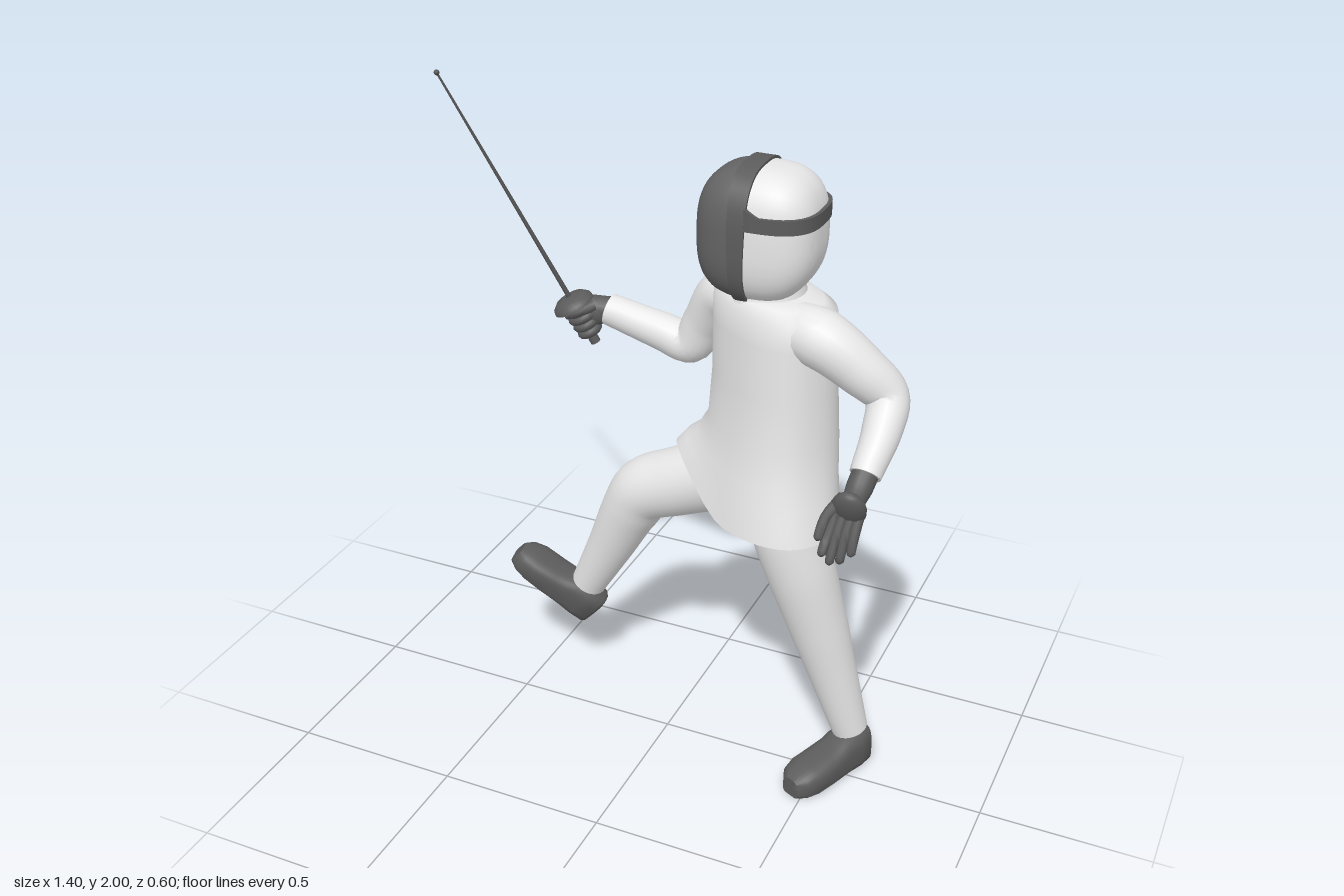
import * as THREE from 'three';
import { toCreasedNormals } from 'three/addons/utils/BufferGeometryUtils.js';

const V = (x, y, z) => new THREE.Vector3(x, y, z);
const spow = (v, e) => Math.sign(v) * Math.abs(v) ** e;

// Skin through closed rings of equal size, with optional end caps, facing outward
function loft(rings, { caps = [true, true], crease = 0.8 } = {}) {
  const n = rings[0].length, pts = rings.flat(), idx = [];
  for (let r = 0; r < rings.length - 1; r++) for (let i = 0; i < n; i++) {
    const a = r * n + i, b = r * n + (i + 1) % n;
    idx.push(a, b, a + n, b, b + n, a + n);
  }
  [0, rings.length - 1].forEach((r, k) => {
    if (!caps[k]) return;
    const c = pts.length;
    pts.push(rings[r].reduce((s, p) => s.add(p), V(0, 0, 0)).divideScalar(n));
    for (let i = 0; i < n; i++) {
      const a = r * n + i, b = r * n + (i + 1) % n;
      idx.push(...(k ? [a, b, c] : [b, a, c]));
    }
  });
  let volume = 0;
  const o = pts[0], d = i => pts[i].clone().sub(o);
  for (let i = 0; i < idx.length; i += 3) volume += d(idx[i]).dot(d(idx[i + 1]).cross(d(idx[i + 2])));
  if (volume < 0) idx.reverse();
  const g = new THREE.BufferGeometry().setFromPoints(pts);
  g.setIndex(idx);
  return toCreasedNormals(g, crease);
}

// Round tapered limb through [x, y, z, radius] stations
function limb(stations, sides = 20, steps = 6) {
  const curve = new THREE.CatmullRomCurve3(stations.map(s => V(s[0], s[1], s[2])), false, 'centripetal');
  const total = (stations.length - 1) * steps, rings = [];
  let normal = V(0.31, 0.17, 0.93);
  for (let k = 0; k <= total; k++) {
    const t = k / total, c = curve.getPoint(t), tan = curve.getTangent(t);
    normal = normal.clone().addScaledVector(tan, -normal.dot(tan)).normalize();
    const bi = tan.clone().cross(normal), f = t * (stations.length - 1);
    const i = Math.min(Math.floor(f), stations.length - 2);
    const r = THREE.MathUtils.lerp(stations[i][3], stations[i + 1][3], f - i);
    rings.push(Array.from({ length: sides }, (_, j) => {
      const a = j / sides * Math.PI * 2;
      return c.clone().addScaledVector(normal, r * Math.cos(a)).addScaledVector(bi, r * Math.sin(a));
    }));
  }
  return loft(rings);
}

// Rounded-box head surface: push a direction out to a superellipsoid, drawn in at the nape
const HEAD = V(0.249, 1.673, -0.06), HALF = V(0.168, 0.183, 0.142), P = 2.9;
function headPoint(dir, grow = 0) {
  const k = (Math.abs(dir.x) ** P + Math.abs(dir.y) ** P + Math.abs(dir.z) ** P) ** (-1 / P);
  const nape = dir.x > 0 ? 1 - 0.2 * Math.max(0, -dir.y * k) ** 2 : 1;
  return V(dir.x * k * (HALF.x + grow) * nape, dir.y * k * (HALF.y + grow), dir.z * k * (HALF.z + grow)).add(HEAD);
}
const headDir = (th, a) => V(-Math.cos(th), Math.sin(th) * Math.cos(a), Math.sin(th) * Math.sin(a));
function headShell(from, to) {
  return loft(Array.from({ length: 21 }, (_, i) => {
    const th = THREE.MathUtils.lerp(from, to, i / 20);
    return Array.from({ length: 48 }, (_, j) => headPoint(headDir(th, j / 48 * Math.PI * 2)));
  }));
}

export function createModel() {
  const root = new THREE.Group();
  const mat = (name, color) => Object.assign(new THREE.MeshStandardMaterial({ color }), { name });
  const white = mat('white cloth', 0xe8e8e8);
  const mesh = mat('mask mesh', 0x646464);
  const dark = mat('dark leather', 0x5c5c5c);
  const steel = mat('steel', 0x545454);
  const cloth = mat('jacket cloth', 0xe8e8e8);
  cloth.side = THREE.DoubleSide;
  const add = (name, geo, m, parent = root) => {
    const o = new THREE.Mesh(geo, m);
    o.name = name;
    parent.add(o);
    return o;
  };

  // Jacket: twisted oval sections [y, centre x, centre z, half width, half depth]
  const twist = 0.6, ct = Math.cos(twist), st = Math.sin(twist);
  const rows = [
    [1.51, 0.27, -0.07, 0.09, 0.08], [1.505, 0.275, -0.07, 0.17, 0.11], [1.475, 0.28, -0.075, 0.2, 0.138],
    [1.4, 0.282, -0.072, 0.2, 0.143], [1.25, 0.287, -0.072, 0.2, 0.148], [1.1, 0.287, -0.07, 0.206, 0.16],
    [1.0, 0.272, -0.069, 0.232, 0.17], [0.93, 0.257, -0.068, 0.265, 0.177], [0.845, 0.244, -0.066, 0.297, 0.183]];
  add('jacket', loft(rows.map(([y, cx, cz, a, b]) => Array.from({ length: 48 }, (_, j) => {
    const t = j / 48 * Math.PI * 2, s = Math.sin(t);
    const u = a * spow(Math.cos(t), 0.86), w = b * (s > 0 ? 0.94 : 1.02) * spow(s, 0.86);
    const x = cx + u * ct - w * st, z = cz + u * st + w * ct;
    const hem = THREE.MathUtils.clamp((1.1 - y) / 0.255, 0, 1);
    const lift = 0.125 * THREE.MathUtils.smoothstep(0.23 - x, 0, 0.24) - 0.03 * THREE.MathUtils.smoothstep(-z, 0.05, 0.2);
    return V(x, y + hem * lift, z);
  })), { caps: [true, false], crease: 1 }), cloth);
  const hips = add('hips', new THREE.SphereGeometry(1, 32, 20), white);
  hips.scale.set(0.17, 0.1, 0.12);
  hips.position.set(0.29, 0.912, -0.05);
  hips.rotation.y = -twist;

  // Sleeves
  add('rightSleeve', limb([[0.2, 1.435, -0.12, 0.068], [0.105, 1.425, -0.16, 0.074], [0.035, 1.32, -0.185, 0.063],
    [-0.012, 1.238, -0.19, 0.06], [-0.1, 1.255, -0.19, 0.056], [-0.27, 1.295, -0.187, 0.047]]), white);
  add('leftSleeve', limb([[0.33, 1.428, -0.02, 0.075], [0.45, 1.427, 0.018, 0.082], [0.56, 1.357, 0.01, 0.071],
    [0.632, 1.287, -0.003, 0.06], [0.644, 1.22, 0.06, 0.054], [0.635, 1.132, 0.157, 0.043]]), white);

  // Trouser legs
  add('rightLeg', limb([[0.31, 0.945, -0.075, 0.095], [0.12, 0.875, -0.11, 0.107], [-0.02, 0.813, -0.118, 0.103],
    [-0.125, 0.76, -0.122, 0.098], [-0.172, 0.69, -0.126, 0.091], [-0.25, 0.53, -0.136, 0.073],
    [-0.337, 0.358, -0.143, 0.055]], 28), white);
  add('leftLeg', limb([[0.36, 0.95, 0, 0.105], [0.38, 0.82, 0.008, 0.108], [0.42, 0.68, 0, 0.1],
    [0.475, 0.48, -0.025, 0.085], [0.57, 0.13, -0.065, 0.054]], 28), white);

  // Shoes: flat-soled sections [z, half width, height] from heel to toe
  const shoeRows = [[-0.058, 0.034, 0.114], [-0.046, 0.047, 0.121], [0, 0.056, 0.125], [0.045, 0.056, 0.122],
    [0.072, 0.057, 0.108], [0.12, 0.061, 0.097], [0.185, 0.063, 0.087], [0.225, 0.053, 0.076], [0.249, 0.03, 0.06]];
  const shoeGeo = loft(shoeRows.map(([z, w, h]) => Array.from({ length: 28 }, (_, j) => {
    const t = j / 28 * Math.PI * 2, s = Math.sin(t);
    return V(w * spow(Math.cos(t), s < 0 ? 0.4 : 0.75), h * (0.5 + 0.5 * spow(s, s < 0 ? 0.4 : 0.7)), z);
  })));
  const shoe = (name, heel, toe, up) => {
    const o = add(name, shoeGeo, dark), z = toe.normalize();
    const x = up.clone().cross(z).normalize();
    o.quaternion.setFromRotationMatrix(new THREE.Matrix4().makeBasis(x, z.clone().cross(x), z));
    o.position.copy(heel);
  };
  shoe('leftShoe', V(0.573, 0, -0.07), V(-0.42, 0, 0.9), V(0, 1, 0));
  shoe('rightShoe', V(-0.4, 0.253, -0.142), V(-0.73, 0.67, 0.2), V(0.68, 0.73, 0));

  // Fencing mask: mesh face, white hood, rim band and strap
  const split = Math.PI * 0.45;
  add('maskMesh', headShell(0.01, split), mesh);
  add('maskHood', headShell(split, Math.PI - 0.01), white);
  add('neck', new THREE.CylinderGeometry(0.09, 0.11, 0.07, 28), white).position.set(0.27, 1.515, -0.065);
  const rimRings = Array.from({ length: 65 }, (_, i) => {
    const a = i / 64 * Math.PI * 2, w = 0.028;
    return [[-w, -0.01], [w, -0.01], [w, 0.007], [-w, 0.007]].map(([dx, g]) => {
      const p = headPoint(headDir(Math.PI / 2, a), g);
      p.x = 0.228 + dx * (0.8 + 0.2 * Math.cos(a));
      return p;
    });
  });
  add('maskRim', loft(rimRings, { caps: [false, false], crease: 0.6 }), dark);
  const strapRings = Array.from({ length: 41 }, (_, i) => {
    const a = (i / 40 - 0.5) * Math.PI, flare = 0.02 * Math.max(0, Math.abs(a) - 1.35) / 0.22;
    return [[-0.02, -0.012], [0.02 + flare, -0.012], [0.02 + flare, 0.005], [-0.02, 0.005]].map(([dy, g]) => {
      const p = headPoint(V(Math.cos(a), 0.25, Math.sin(a)), g);
      p.y = 1.738 + dy;
      return p;
    });
  });
  add('maskStrap', loft(strapRings, { crease: 0.6 }), dark);

  // Open left glove
  const leftGlove = new THREE.Group();
  leftGlove.name = 'leftGlove';
  root.add(leftGlove);
  const palm = add('palm', new THREE.SphereGeometry(1, 20, 14), dark, leftGlove);
  palm.scale.set(0.049, 0.074, 0.03);
  palm.position.set(0.614, 1.056, 0.216);
  palm.rotation.set(0.5, 0, -0.2);
  add('cuff', limb([[0.637, 1.15, 0.14, 0.037], [0.629, 1.105, 0.183, 0.036], [0.618, 1.06, 0.212, 0.028]], 16), dark, leftGlove);
  [[0.585, 0.57, 0.95, 0.287], [0.605, 0.59, 0.925, 0.28], [0.625, 0.613, 0.925, 0.265], [0.643, 0.638, 0.945, 0.25]]
    .forEach(([x, tx, ty, tz], i) => add('finger', limb([[x, 1.05, 0.232 - i * 0.008, 0.016],
      [(x + tx) / 2 - 0.002, 0.99, 0.262 - i * 0.009, 0.015], [tx, ty, tz, 0.012], [tx, ty - 0.008, tz, 0.004]], 10, 4), dark, leftGlove));
  add('thumb', limb([[0.6, 1.09, 0.215, 0.018], [0.565, 1.04, 0.25, 0.015], [0.555, 0.99, 0.28, 0.012],
    [0.554, 0.983, 0.283, 0.004]], 10, 4), dark, leftGlove);

  // Sword, built along +y from the guard, with the fist around its grip
  const sword = new THREE.Group();
  sword.name = 'sword';
  sword.position.set(-0.365, 1.32, -0.137);
  const tip = V(-0.688, 1.994, -0.002), axis = tip.clone().sub(sword.position), len = axis.length();
  sword.quaternion.setFromUnitVectors(V(0, 1, 0), axis.normalize());
  root.add(sword);
  add('blade', new THREE.CylinderGeometry(0.003, 0.0075, len, 10), steel, sword).position.y = len / 2;
  add('bladeTip', new THREE.SphereGeometry(0.008, 12, 8), steel, sword).position.y = len;
  const bell = [[0.062, -0.012], [0.06, 0], [0.045, 0.014], [0.022, 0.02], [0, 0.021]].map(p => new THREE.Vector2(...p));
  const guardSteel = mat('guard steel', 0x5c5c5c);
  guardSteel.side = THREE.DoubleSide;
  add('guard', new THREE.LatheGeometry(bell, 28), guardSteel, sword);
  add('grip', new THREE.CylinderGeometry(0.013, 0.015, 0.145, 14), dark, sword).position.y = -0.07;
  for (let i = 0; i < 4; i++) {
    const f = add('curledFinger', new THREE.TorusGeometry(0.025, 0.0135, 10, 20), dark, sword);
    f.rotation.x = Math.PI / 2;
    f.scale.x = 1.25 - i * 0.08;
    f.position.set(0.004, -0.028 - i * 0.024, 0);
  }
  const fist = add('rightPalm', new THREE.SphereGeometry(1, 20, 14), dark);
  fist.scale.set(0.05, 0.045, 0.034);
  fist.position.set(-0.312, 1.29, -0.168);
  add('rightCuff', limb([[-0.255, 1.296, -0.186, 0.038], [-0.32, 1.3, -0.17, 0.036]], 16), dark);
  add('rightThumb', limb([[-0.3, 1.315, -0.15, 0.016], [-0.34, 1.3, -0.115, 0.014], [-0.375, 1.28, -0.12, 0.011]], 10, 4), dark);
  return root;
}
